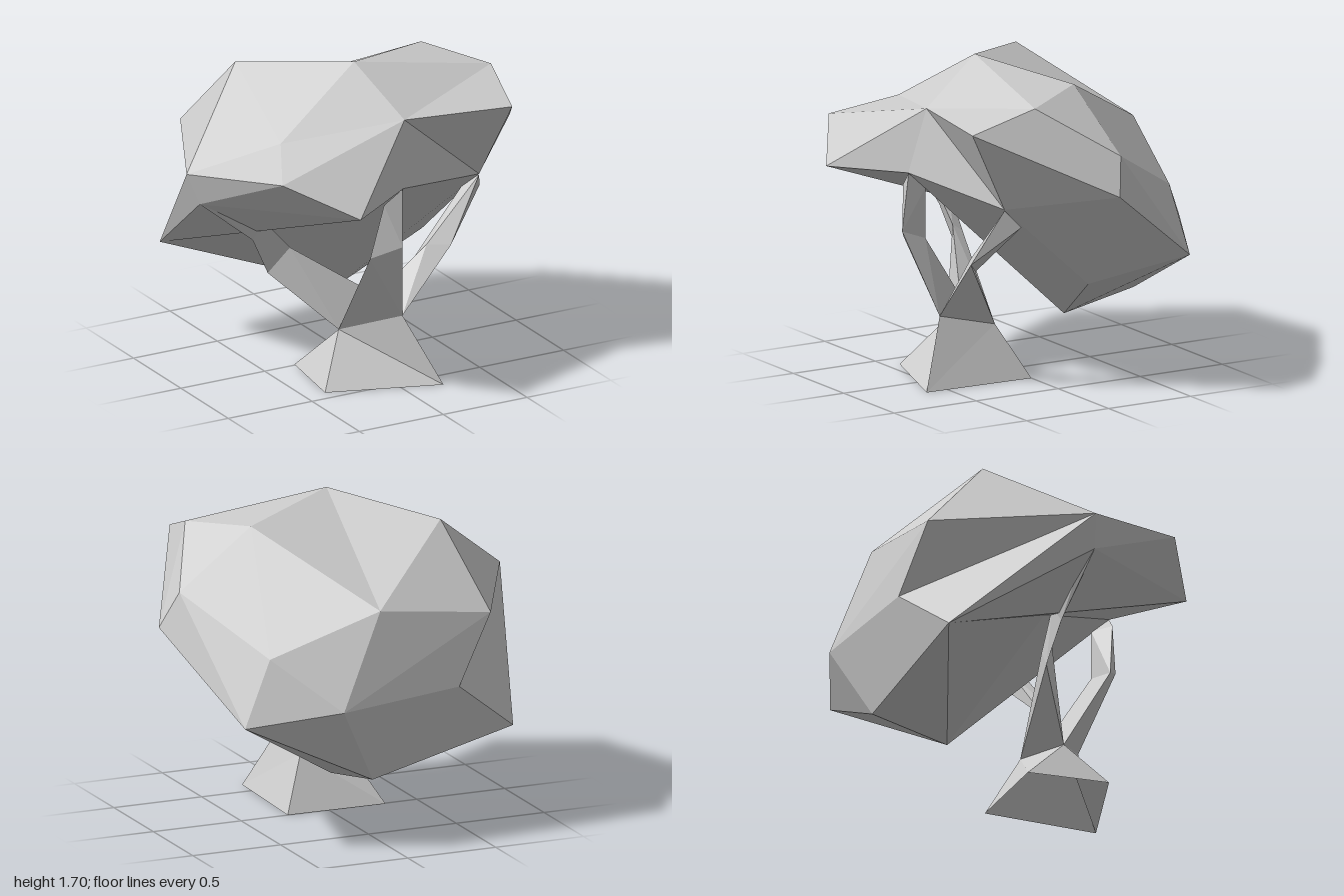
import * as THREE from 'three';
import { ConvexGeometry } from 'three/addons/geometries/ConvexGeometry.js';
import { mergeGeometries } from 'three/addons/utils/BufferGeometryUtils.js';

const material = new THREE.MeshStandardMaterial({
  color: 0xcccccc, flatShading: true, side: THREE.DoubleSide,
});

// Faceted solid wrapped around a few corner points
const hull = (points) => new ConvexGeometry(points.map((p) => new THREE.Vector3(...p)));

// Open surface made of a few triangles
function facets(triangles) {
  const geometry = new THREE.BufferGeometry();
  geometry.setAttribute('position', new THREE.Float32BufferAttribute(triangles.flat(2), 3));
  geometry.computeVertexNormals();
  return geometry;
}

function addPart(group, name, geometry) {
  const mesh = new THREE.Mesh(geometry, material);
  mesh.name = name;
  group.add(mesh);
}

// Branch: triangular cross-sections joined one after another
function branch(rings) {
  const pieces = [];
  for (let i = 0; i + 1 < rings.length; i++) pieces.push(hull([...rings[i], ...rings[i + 1]]));
  return mergeGeometries(pieces);
}

export function createModel() {
  const tree = new THREE.Group();
  tree.name = 'tree';

  // Ridge loop shared by both halves of the crown
  const top = [-0.06, 1.695, 0.165];
  const brow = [0.04, 1.47, 0.52];
  const lip = [-0.01, 1.125, 0.6];
  const keel = [0.11, 0.285, -0.275];
  const heel = [0.075, 0.36, -0.72];
  const nape = [0.04, 1.27, -0.74];
  const back = [0.3, 0.78, -0.86];
  const seam = [top, brow, keel, heel, nape, back];

  // Crown half on the -x side: upper, lower and front masses meeting in valleys
  const wing = [-1, 1.21, 0.06];
  const underWing = [-0.935, 1.04, 0.085];
  const dent = [-0.39, 0.825, -0.785];
  const tail = [-0.75, 0.545, -0.665];
  const cheek = [-0.58, 1.385, 0.31];
  addPart(tree, 'crownRightTop', hull([
    ...seam, lip, wing, underWing, dent, cheek, [-0.48, 1.605, -0.345], [-0.6, 1.185, -0.715],
  ]));
  addPart(tree, 'crownRightBottom', hull([lip, keel, heel, back, wing, underWing, dent, tail]));
  addPart(tree, 'crownRightFront', hull([
    wing, underWing, cheek, tail, brow, lip, [-0.75, 1.29, 0.63], [-0.41, 1.11, 0.855],
  ]));

  // Crown half on the +x side
  const shoulder = [0.7, 1.575, 0.265];
  const side = [1, 1.12, -0.07];
  const upperSide = [0.91, 1.315, -0.13];
  const corner = [0.57, 1.02, 0.37];
  addPart(tree, 'crownLeft', hull([
    ...seam, shoulder, side, upperSide, corner,
    [0.765, 0.69, -0.64], [0.53, 0.545, -0.165],
    [0.49, 1.615, -0.1], [0.61, 1.04, -0.61],
  ]));
  addPart(tree, 'crownBrow', hull([brow, lip, corner, keel]));
  addPart(tree, 'crownLobe', hull([brow, shoulder, side, upperSide, corner, [0.635, 1.46, 0.605]]));

  // Trunk: four-cornered open foot rising to a triangular waist
  const w0 = [-0.2, 0.26, 0.25];
  const w1 = [0.065, 0.355, 0.455];
  const w2 = [0.1, 0.28, 0.14];
  const fork = [0.0, 0.43, 0.29];
  const b0 = [-0.38, 0, 0.425];
  const b1 = [0.213, 0, 0.626];
  const b2 = [0.235, 0, 0];
  const b3 = [-0.317, 0, -0.01];
  addPart(tree, 'trunk', facets([
    [w0, b0, b1], [w0, b1, w1], [w1, b1, w2], [w2, b1, b2],
    [w2, b2, b3], [w2, b3, w0], [w0, b3, b0],
  ]));

  // Three branches spreading from the waist to the crown
  addPart(tree, 'frontBranch', branch([
    [w0, w1, fork],
    [[-0.03, 0.81, 0.625], [-0.17, 0.74, 0.53], [-0.02, 0.76, 0.49]],
    [[-0.015, 1.12, 0.595], [-0.11, 1.04, 0.57], [0, 1.04, 0.5]],
  ]));
  addPart(tree, 'leftBranch', branch([
    [w1, w2, fork],
    [[0.36, 0.69, 0.445], [0.2, 0.6, 0.325], [0.25, 0.69, 0.38]],
    [[0.615, 0.925, 0.295], [0.57, 1.015, 0.37], [0.52, 0.96, 0.3]],
  ]));
  addPart(tree, 'rightBranch', branch([
    [w0, w2, fork],
    [[-0.49, 0.55, 0.015], [-0.4, 0.7, 0.09], [-0.4, 0.66, 0.03]],
    [[-0.6, 0.765, 0.05], [-0.56, 0.88, 0.1], [-0.55, 0.85, 0.02]],
    [[-0.935, 1.04, 0.085], [-0.9, 1.04, 0.1], [-0.88, 1.04, 0.05]],
  ]));

  return tree;
}
